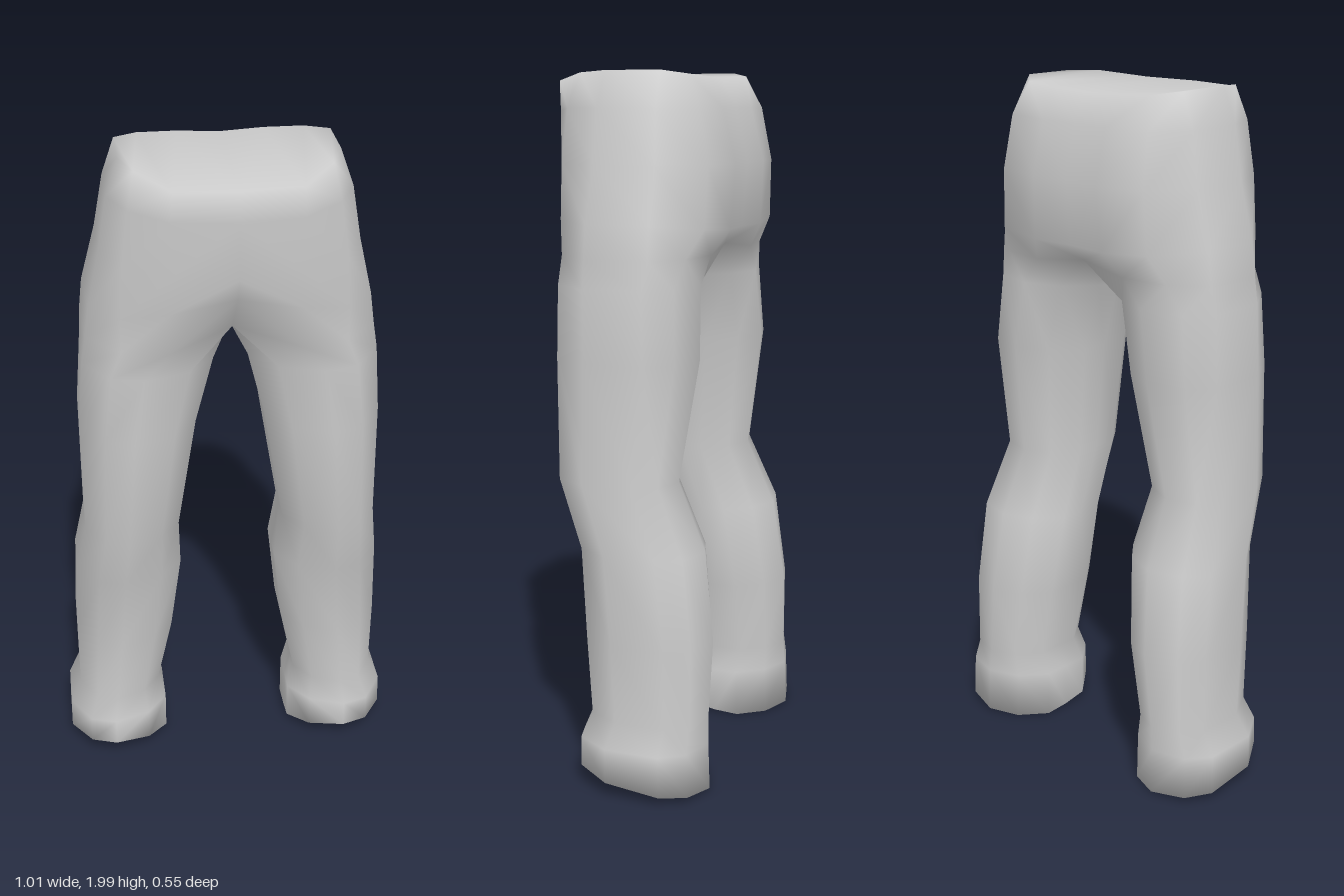
import * as THREE from 'three';
import { mergeVertices } from 'three/addons/utils/BufferGeometryUtils.js';

// Half cross-sections of the hips: front centre, round the outer side, to back centre
const hipRings = [
  [[0, 1.975, 0.275], [0.17, 1.975, 0.255], [0.26, 1.995, 0.15], [0.295, 2, 0.06],
    [0.295, 2, -0.1], [0.23, 1.99, -0.16], [0.12, 1.985, -0.175], [0, 1.98, -0.17]],
  [[0, 1.89, 0.27], [0.175, 1.89, 0.25], [0.28, 1.9, 0.18], [0.33, 1.9, 0.07],
    [0.33, 1.9, -0.1], [0.26, 1.9, -0.2], [0.12, 1.9, -0.215], [0, 1.9, -0.21]],
  [[0, 1.73, 0.268], [0.17, 1.74, 0.245], [0.3, 1.75, 0.19], [0.355, 1.75, 0.07],
    [0.357, 1.75, -0.11], [0.27, 1.75, -0.228], [0.12, 1.75, -0.253], [0, 1.75, -0.247]],
  [[0, 1.66, 0.235], [0.18, 1.62, 0.222], [0.31, 1.6, 0.19], [0.39, 1.59, 0.08],
    [0.4, 1.59, -0.11], [0.28, 1.58, -0.222], [0.13, 1.57, -0.243], [0, 1.57, -0.23]],
];

// Where the hips split: outer arc as above, then three points along the crotch seam
const crotchRing = [[0, 1.53, 0.12], [0.18, 1.5, 0.213], [0.31, 1.5, 0.188], [0.402, 1.5, 0.08],
  [0.41, 1.5, -0.11], [0.31, 1.5, -0.18], [0.17, 1.5, -0.2], [0, 1.52, -0.18],
  [0, 1.51, -0.1], [0, 1.505, -0.02], [0, 1.51, 0.05]];

// Leg outline as (inner to outer, back to front), each from -1 to 1
const outline = [[-0.6, 0.8], [0.1, 1], [0.6, 0.88], [1, 0.35], [1, -0.5], [0.68, -0.85],
  [0, -1], [-0.6, -0.8], [-1, -0.4], [-1, 0], [-1, 0.4]];

// Leg rings: height, inner x, outer x, front z, back z
const legSizes = [
  [1.42, 0.05, 0.415, 0.21, -0.195],
  [1.22, 0.1, 0.43, 0.205, -0.205],
  [0.88, 0.155, 0.43, 0.193, -0.155],
  [0.69, 0.145, 0.46, 0.118, -0.238],
  [0.44, 0.175, 0.47, 0.098, -0.27],
  [0.22, 0.22, 0.47, 0.077, -0.265],
  [0.15, 0.2, 0.503, 0.105, -0.268],
  [0, 0.2, 0.505, 0.105, -0.273], // hem, tilted below
];

function legRing([y, xi, xo, zf, zb], i) {
  const hem = i === legSizes.length - 1;
  return outline.map(([u, v]) => [
    (xi + xo) / 2 + (u * (xo - xi)) / 2,
    hem ? Math.max(0, 0.028 + 0.012 * u + v * (v > 0 ? 0.035 : 0.012)) : y,
    (zf + zb) / 2 + (v * (zf - zb)) / 2,
  ]);
}

function trouserGeometry() {
  const positions = [];
  // Adds a triangle and its mirror image
  const tri = (a, b, c) => {
    positions.push(...a, ...b, ...c);
    for (const p of [a, c, b]) positions.push(-p[0], p[1], p[2]);
  };
  const quad = (a, b, c, d) => { tri(a, b, c); tri(a, c, d); };
  const skin = (rings, closed) => {
    for (let i = 0; i + 1 < rings.length; i++) {
      const top = rings[i], low = rings[i + 1];
      const n = top.length;
      for (let j = 0; j < (closed ? n : n - 1); j++) {
        const k = (j + 1) % n;
        quad(top[j], low[j], low[k], top[k]);
      }
    }
  };

  const legs = legSizes.map(legRing);
  skin([...hipRings, crotchRing.slice(0, 8)], false);
  skin([crotchRing, ...legs], true);

  // Waist cap, in strips from front to back
  const w = hipRings[0];
  for (let j = 0; j < 3; j++) quad(w[j], w[j + 1], w[6 - j], w[7 - j]);

  // Hem cap
  const h = legs[legs.length - 1];
  for (let j = 1; j + 1 < h.length; j++) tri(h[0], h[j + 1], h[j]);

  const raw = new THREE.BufferGeometry();
  raw.setAttribute('position', new THREE.Float32BufferAttribute(positions, 3));
  const geometry = mergeVertices(raw, 1e-4);
  geometry.computeVertexNormals();
  return geometry;
}

export function createModel() {
  const group = new THREE.Group();
  group.name = 'trousers';
  const cloth = new THREE.MeshStandardMaterial({ color: 0xcccccc });
  cloth.name = 'light grey cloth';
  const mesh = new THREE.Mesh(trouserGeometry(), cloth);
  mesh.name = 'trouserBody';
  group.add(mesh);
  return group;
}
